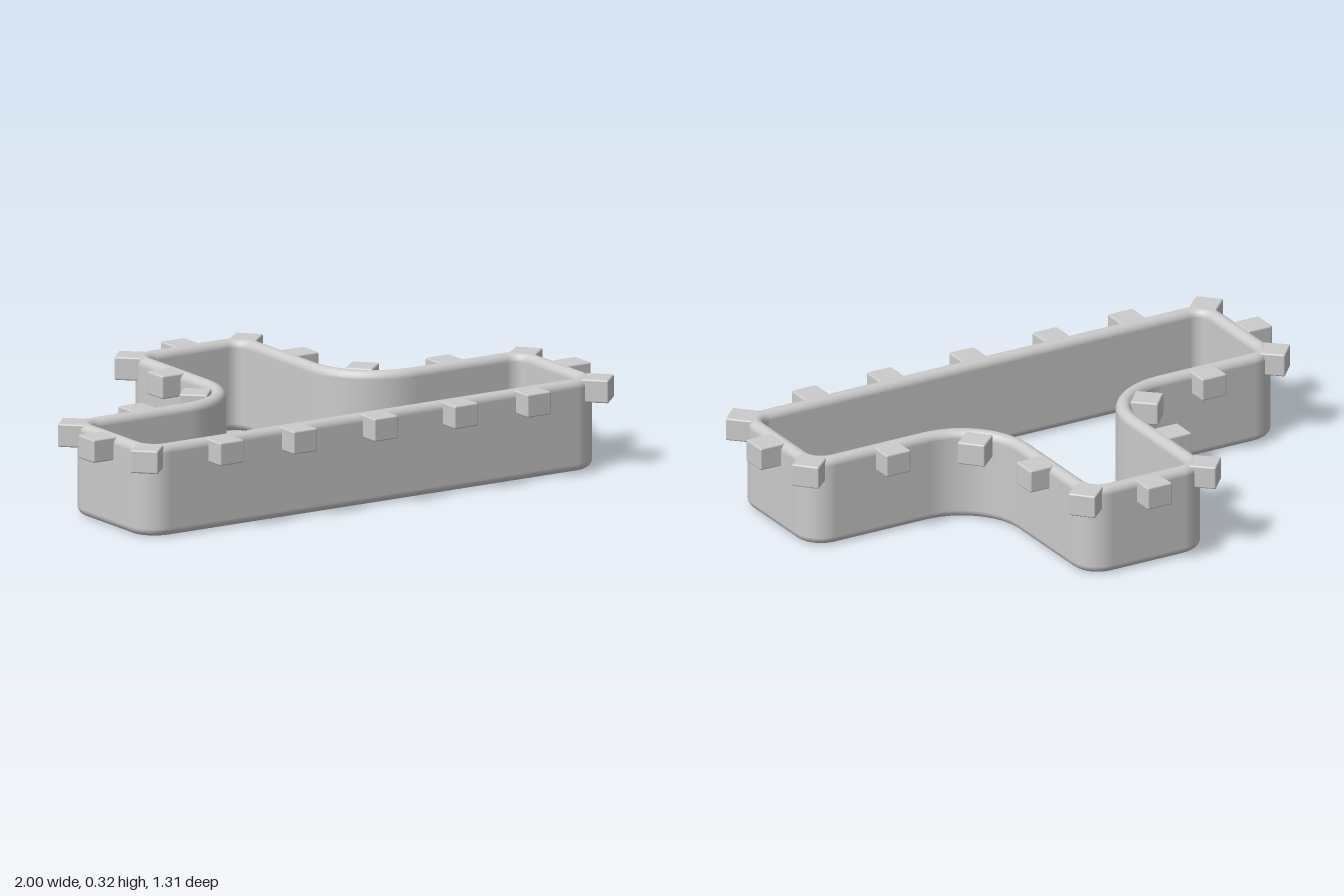
import * as THREE from 'three';
import { RoundedBoxGeometry } from 'three/addons/geometries/RoundedBoxGeometry.js';

const HEIGHT = 0.316;
const HALF = 0.027; // half the wall thickness
const material = new THREE.MeshStandardMaterial({ color: 0xcccccc });

// Midline of the T-shaped wall: points with outward normals, right half then mirrored left half
function wallPath() {
  const right = [];
  const arc = (cx, cz, r, from, to, segments, outward) => {
    for (let i = 0; i <= segments; i++) {
      const a = THREE.MathUtils.degToRad(from + ((to - from) * i) / segments);
      const c = Math.cos(a), s = Math.sin(a);
      right.push({ x: cx + r * c, z: cz + r * s, nx: outward * c, nz: outward * s });
    }
  };
  arc(0.142, -0.483, 0.073, -90, 0, 8, 1); // stem corner
  arc(0.455, -0.118, 0.24, 180, 90, 8, -1); // concave bend into the bar
  arc(0.82, 0.195, 0.073, -90, 0, 8, 1); // bar back corner
  arc(0.82, 0.483, 0.073, 0, 90, 8, 1); // bar front corner
  const left = right.map((p) => ({ ...p, x: -p.x, nx: -p.nx })).reverse();
  return [...right, ...left];
}

// Upright section with fully rounded rims: offset across the wall, height, normal
function wallSection() {
  const section = [];
  const steps = 8;
  for (const [start, cy] of [[0, HEIGHT - HALF], [Math.PI, HALF]]) {
    for (let i = 0; i <= steps; i++) {
      const a = start + (Math.PI * i) / steps;
      const u = Math.cos(a), v = Math.sin(a);
      section.push({ offset: HALF * u, y: cy + HALF * v, u, v });
    }
  }
  return section;
}

// Sweep the section around the closed path
function wallGeometry() {
  const path = wallPath(), section = wallSection();
  const n = path.length, m = section.length;
  const positions = [], normals = [], indices = [];
  path.forEach((p, i) => {
    section.forEach((s, j) => {
      positions.push(p.x + p.nx * s.offset, s.y, p.z + p.nz * s.offset);
      normals.push(p.nx * s.u, s.v, p.nz * s.u);
      const a = i * m + j, b = i * m + ((j + 1) % m);
      const c = ((i + 1) % n) * m + j, d = ((i + 1) % n) * m + ((j + 1) % m);
      indices.push(a, b, c, b, d, c);
    });
  });
  const geometry = new THREE.BufferGeometry();
  geometry.setAttribute('position', new THREE.Float32BufferAttribute(positions, 3));
  geometry.setAttribute('normal', new THREE.Float32BufferAttribute(normals, 3));
  geometry.setIndex(indices);
  return geometry;
}

export function createModel() {
  const model = new THREE.Group();

  const wall = new THREE.Mesh(wallGeometry(), material);
  wall.name = 'wall';
  model.add(wall);

  // Small blocks around the outside of the upper rim
  const tabs = new THREE.Group();
  tabs.name = 'rimTabs';
  const tabGeometry = new RoundedBoxGeometry(0.096, 0.08, 0.096, 2, 0.006);
  const addTab = (name, x, z, yaw) => {
    const tab = new THREE.Mesh(tabGeometry, material);
    tab.name = name;
    tab.position.set(x, 0.275, z);
    tab.rotation.y = THREE.MathUtils.degToRad(yaw);
    tabs.add(tab);
  };
  for (const x of [-0.62, -0.325, 0, 0.322, 0.615]) addTab('frontTab', x, 0.607, 0);
  addTab('stemEndTab', 0, -0.607, 0);
  for (const side of [-1, 1]) {
    addTab('barBackTab', side * 0.617, 0.073, 0);
    addTab('barEndTab', side * 0.952, 0.337, 0);
    addTab('stemSideTab', side * 0.267, -0.285, 0);
    addTab('frontCornerTab', side * 0.905, 0.567, side * 45);
    addTab('backCornerTab', side * 0.907, 0.125, side * 42);
    addTab('stemCornerTab', side * 0.232, -0.557, side * 42);
    addTab('bendTab', side * 0.335, -0.003, side * 42);
  }
  model.add(tabs);
  return model;
}
